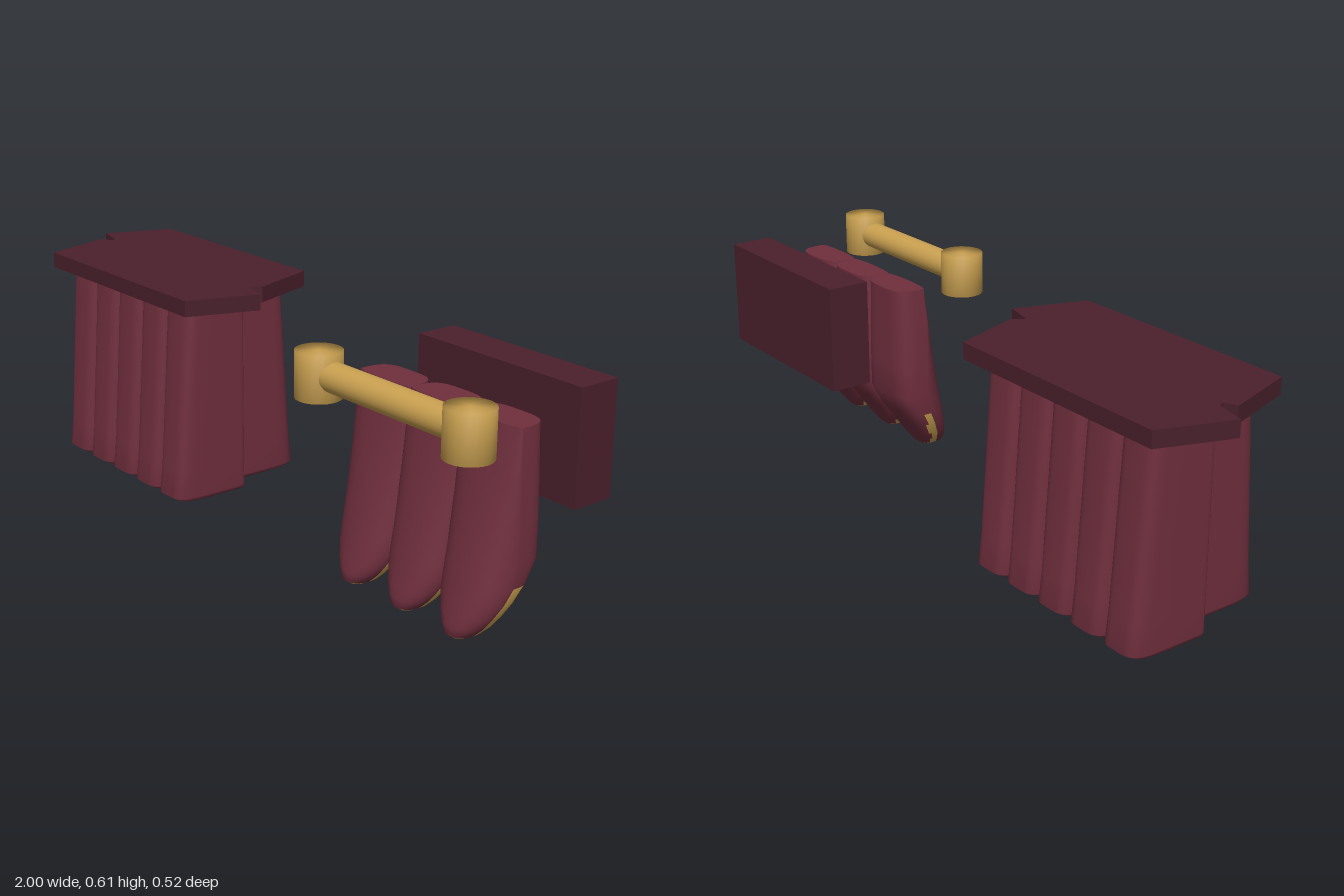
import * as THREE from 'three';
import { mergeVertices } from 'three/addons/utils/BufferGeometryUtils.js';

const material = (name, color) => {
  const m = new THREE.MeshStandardMaterial({ color });
  m.name = name;
  return m;
};

// Power that keeps the sign, used for squarish ovals
const spow = (v, p) => Math.sign(v) * Math.abs(v) ** p;

// Loft upright rings, bottom to top. Row: [y, halfWidth, frontZ, backZ, seamZ].
// isTrim(y, sideAngle) selects faces for the second material.
function loft(rows, front, back, isTrim = () => false, n = 40) {
  const pos = [], main = [], trim = [];
  const ring = ([y, hw, f, b, e]) => {
    for (let i = 0; i < n; i++) {
      const a = (i / n) * Math.PI * 2, s = Math.sin(a);
      const [px, pz] = s > 1e-6 ? back : front;
      const z = Math.abs(s) < 1e-6 ? e : e + ((s > 0 ? b : f) - e) * Math.abs(s) ** pz;
      const c = Math.abs(Math.cos(a)) < 1e-6 ? 0 : Math.cos(a);
      pos.push(hw * spow(c, px), y, z);
    }
  };
  rows.forEach(ring);
  for (let r = 0; r < rows.length - 1; r++) {
    for (let i = 0; i < n; i++) {
      const j = (i + 1) % n, a = r * n + i, b = r * n + j;
      const list = isTrim(rows[r][0], i / n, r) ? trim : main;
      list.push(a, b, b + n, a, b + n, a + n);
    }
  }
  // End caps use their own corners, so the rim stays sharp
  [[rows[0], true], [rows[rows.length - 1], false]].forEach(([row, bottom]) => {
    const start = pos.length / 3;
    ring(row);
    pos.push(0, row[0], (row[2] + row[3]) / 2);
    for (let i = 0; i < n; i++) {
      const a = start + i, b = start + (i + 1) % n, c = start + n;
      const list = bottom && isTrim(row[0], 0, 0) ? trim : main;
      if (bottom) list.push(b, a, c); else list.push(a, b, c);
    }
  });
  const g = new THREE.BufferGeometry();
  g.setAttribute('position', new THREE.Float32BufferAttribute(pos, 3));
  g.setIndex([...main, ...trim]);
  g.addGroup(0, main.length, 0);
  g.addGroup(main.length, trim.length, 1);
  g.computeVertexNormals();
  return g;
}

export function createModel() {
  const model = new THREE.Group();
  model.name = 'curtainSet';
  const cloth = material('burgundyCloth', 0x702f3e);
  const dark = material('darkBurgundy', 0x4a202c);
  const gold = material('gold', 0xc9a050);

  const add = (parent, name, geometry, mat, x = 0, y = 0, z = 0) => {
    const mesh = new THREE.Mesh(geometry, mat);
    mesh.name = name;
    mesh.position.set(x, y, z);
    parent.add(mesh);
    return mesh;
  };

  // Double pelmet board with notched ends, outline in x and z
  const outline = [
    [-0.87, 0.21], [-0.16, 0.21], [-0.094, 0.005], [-0.185, -0.018], [-0.158, -0.048],
    [-0.23, -0.252], [-0.93, -0.252], [-1, -0.053], [-0.912, -0.032], [-0.905, -0.016], [-0.94, 0],
  ];
  const shape = new THREE.Shape(outline.map(([x, z]) => new THREE.Vector2(x, -z)));
  const board = new THREE.ExtrudeGeometry(shape, { depth: 0.045, bevelEnabled: false });
  board.rotateX(-Math.PI / 2);
  add(model, 'pelmetBoard', board, dark, 0, 0.565, 0);

  // Two rows of five pleats hanging back to back
  const pleat = loft([
    [0, 0.05, 0.17, 0.005, 0.1],
    [0.006, 0.06, 0.216, 0.001, 0.11],
    [0.016, 0.064, 0.232, 0, 0.12],
    [0.1, 0.064, 0.222, 0, 0.12],
    [0.3, 0.064, 0.207, 0, 0.12],
    [0.566, 0.064, 0.188, 0, 0.11],
  ], [0.5, 0.5], [0.12, 0.12]);
  [['frontCurtain', -0.515, -0.015, 0], ['backCurtain', -0.58, -0.02, Math.PI]].forEach(([name, x, z, turn]) => {
    const row = new THREE.Group();
    row.name = name;
    row.position.set(x, 0, z);
    row.rotation.y = turn;
    for (let i = -2; i <= 2; i++) add(row, 'pleat', pleat, cloth, i * 0.1265);
    model.add(row);
  });

  // Three swags with gold edging along the rounded lower seam
  const swagRows = [
    [0.002, 0.02, 0.152, 0.1, 0.13],
    [0.012, 0.038, 0.168, 0.083, 0.125],
    [0.035, 0.06, 0.167, 0.066, 0.115],
    [0.06, 0.076, 0.162, 0.05, 0.105],
    [0.1, 0.094, 0.153, 0.024, 0.085],
    [0.14, 0.103, 0.145, -0.003, 0.065],
    [0.2, 0.108, 0.132, -0.034, 0.05],
    [0.3, 0.107, 0.11, -0.035, 0.052],
    [0.42, 0.102, 0.084, -0.035, 0.056],
    [0.53, 0.094, 0.062, -0.035, 0.05],
  ];
  const edging = (y, t, r) => {
    if (y < 0.01) return true;
    const side = Math.min(t, Math.abs(0.5 - t));
    return y < 0.14 && t < 0.5 && side < (r % 2 ? 0.07 : 0.045);
  };
  const swag = loft(swagRows, [0.85, 1.1], [0.55, 0.55], edging);
  for (let i = -1; i <= 1; i++) add(model, 'swag', swag, [cloth, gold], 0.673 + i * 0.189);

  // Gold rod with softly shaded upright end caps
  const rod = new THREE.CylinderGeometry(0.039, 0.039, 0.54, 24);
  rod.rotateZ(Math.PI / 2);
  add(model, 'rod', rod, gold, 0.673, 0.553, 0.2);
  let knob = new THREE.CylinderGeometry(0.061, 0.061, 0.121, 24);
  knob.deleteAttribute('uv');
  knob.deleteAttribute('normal');
  knob = mergeVertices(knob);
  knob.computeVertexNormals();
  [0.409, 0.939].forEach((x) => add(model, 'rodKnob', knob, gold, x, 0.5495, 0.201));

  // Backing panel behind the swags
  add(model, 'backPanel', new THREE.BoxGeometry(0.56, 0.304, 0.122), dark, 0.672, 0.435, -0.201);

  return model;
}
